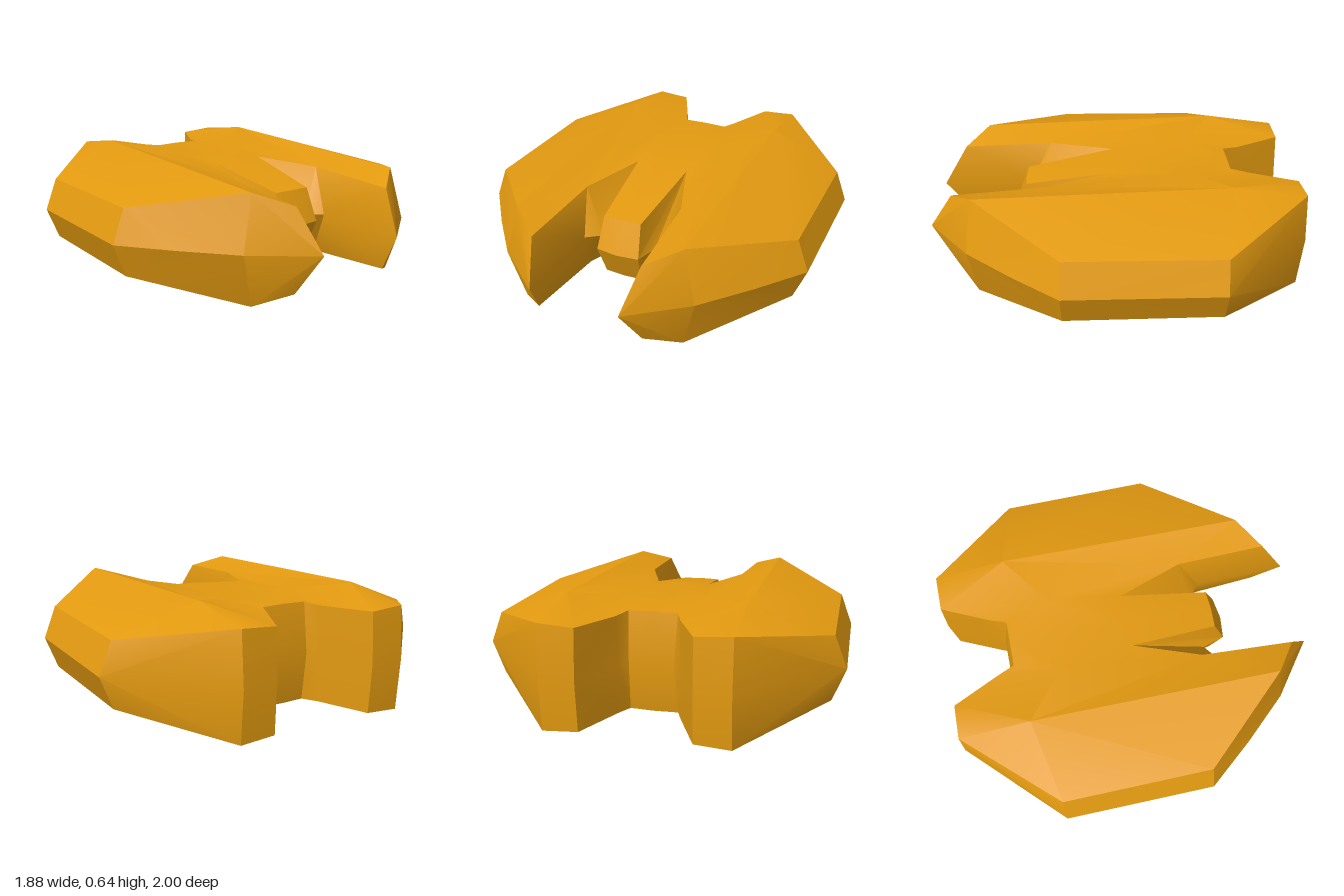
import * as THREE from 'three';
import { toCreasedNormals } from 'three/addons/utils/BufferGeometryUtils.js';

const MID = 0.323; // height of the horizontal symmetry plane

// Upper left quarter of the hull: lower case = waist outline, upper case = upper deck
const P = {
  a: [0, MID, 0.56], b: [0.12, MID, 0.545],             // nose
  c: [0.155, MID, 0.42], d: [0.235, MID, 0.48],         // notch beside the nose
  e: [0.242, MID, 0.995], f: [0.53, MID, 0.77],         // pod tip
  x: [0.74, MID, 0.53], g: [0.938, MID, 0.28],          // pod flank
  h: [0.938, MID, -0.52], i: [0.46, MID, -1], j: [0.28, MID, -0.995],
  k: [0.155, MID, -0.73], l: [0.115, MID, -0.685], m: [0, MID, -0.685], // tail
  A: [0, 0.497, 0.485], B: [0.105, 0.495, 0.48],
  C: [0.148, 0.58, 0], D: [0.275, 0.565, 0.36],
  E: [0.297, 0.537, 0.86], F: [0.46, 0.602, 0.735],
  G: [0.873, 0.495, 0.275], H: [0.873, 0.49, -0.52],
  I: [0.46, 0.592, -0.98], J: [0.278, 0.58, -0.98],
  K: [0.16, 0.575, -0.73], L: [0.125, 0.582, -0.64], M: [0, 0.585, -0.64],
  N: [0, 0.59, -0.05], R: [0.46, 0.645, -0.6], Q: [0.2, 0.595, -0.4],
};
const NOSE = ['abBA', 'bcCB'];
const POD_WALLS = ['cdDC', 'deED', 'efFE', 'fxGF', 'xgG', 'ghHG', 'hiIH', 'ijJI'];
const TAIL_WALLS = ['jkKJ', 'klLK', 'lmML'];
const DECK = ['ABCN', 'NCQ', 'NQM', 'MQL', 'QKL', 'QJK', 'QRJ', 'RIJ',
  'RHI', 'RGH', 'FGR', 'EFD', 'DFR', 'DRQ', 'CDQ'];

// Mirror the quarter across x and across the waist plane, fanning each polygon
function hullGeometry(faces) {
  const pos = [];
  for (const sx of [1, -1]) {
    for (const sy of [1, -1]) {
      const corner = (key) => {
        const [x, y, z] = P[key];
        return [x * sx, MID + (y - MID) * sy, z];
      };
      for (const face of faces) {
        for (let n = 1; n < face.length - 1; n++) {
          const tri = [face[0], face[n], face[n + 1]];
          if (sx * sy < 0) tri.reverse(); // keep faces outward
          for (const key of tri) pos.push(...corner(key));
        }
      }
    }
  }
  const geo = new THREE.BufferGeometry();
  geo.setAttribute('position', new THREE.Float32BufferAttribute(pos, 3));
  return toCreasedNormals(geo, THREE.MathUtils.degToRad(30));
}

export function createModel() {
  const group = new THREE.Group();
  group.name = 'twinPodHull';
  const material = new THREE.MeshStandardMaterial({ color: 0xe39a10 });
  // One closed shell, so that shading flows between the deck and the walls
  const hull = new THREE.Mesh(
    hullGeometry([...NOSE, ...POD_WALLS, ...TAIL_WALLS, ...DECK]), material);
  hull.name = 'hull';
  group.add(hull);
  return group;
}
